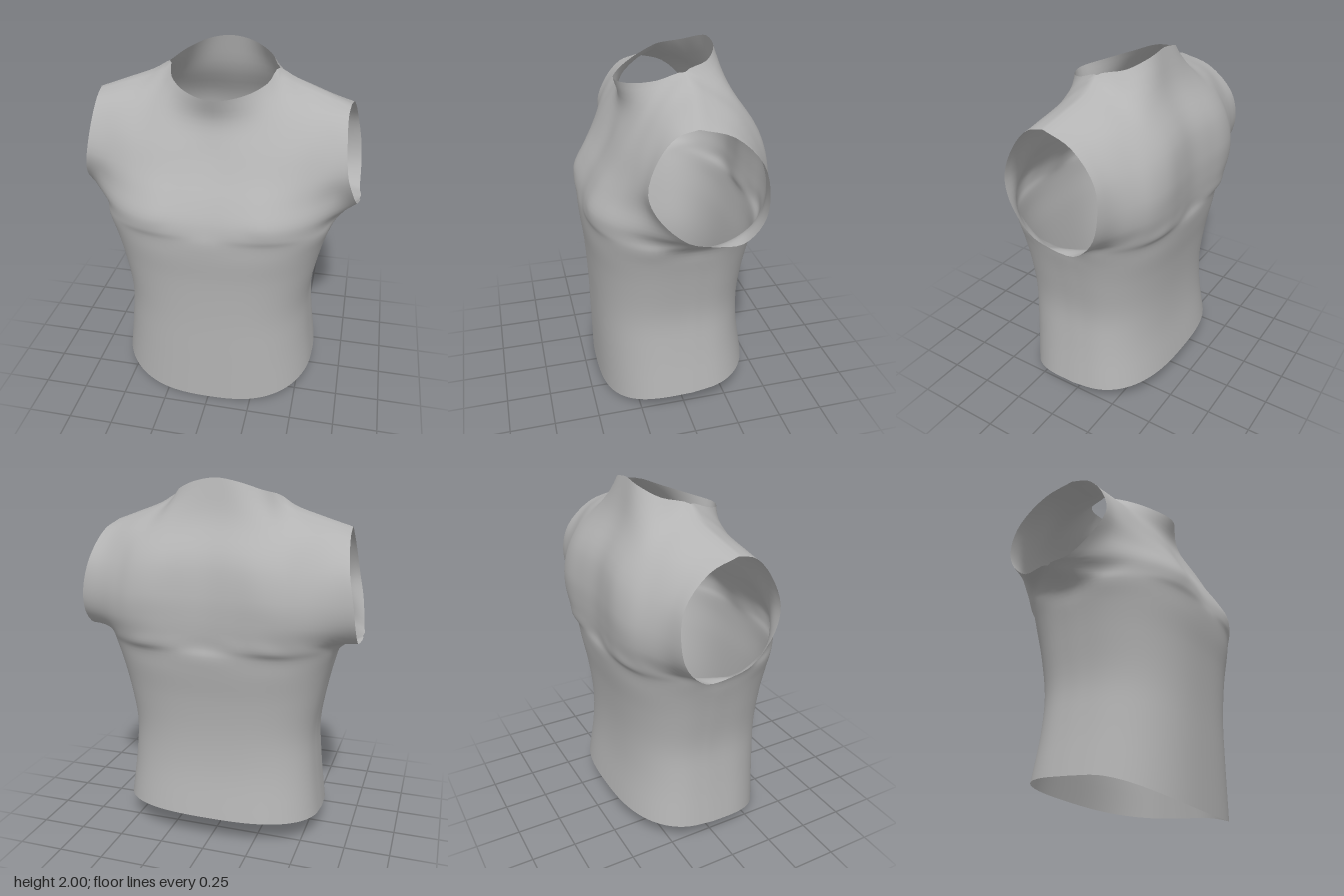
import * as THREE from 'three';
import { mergeVertices } from 'three/addons/utils/BufferGeometryUtils.js';

const STEPS = 4; // samples per control span
const COLS = 6;  // control spans from centre line to side seam

// Waist-to-chest rings: height, half width, front depth, back depth
const RINGS = [
  [0.0, 0.58, 0.43, -0.44],
  [0.32, 0.548, 0.435, -0.402],
  [0.58, 0.536, 0.44, -0.396],
  [0.84, 0.572, 0.455, -0.415],
  [1.0, 0.61, 0.473, -0.442],
  [1.1, 0.643, 0.478, -0.455],
];

// Shoulder seam, from neck to sleeve opening
const SEAM = [[0.295, 1.905, -0.04], [0.38, 1.855, -0.05], [0.53, 1.8, -0.03], [0.675, 1.75, 0]];
const UNDERARM = [0.765, 1.18, -0.06];

// Half cross-sections from underarm to neckline: centre line to sleeve opening
const FRONT = [
  [[0, 1.15, 0.47], [0.2, 1.15, 0.477], [0.34, 1.15, 0.455], [0.46, 1.15, 0.395], [0.56, 1.15, 0.3], [0.64, 1.15, 0.15], UNDERARM],
  [[0, 1.22, 0.452], [0.16, 1.22, 0.465], [0.29, 1.22, 0.465], [0.42, 1.22, 0.418], [0.53, 1.22, 0.34], [0.64, 1.22, 0.22], [0.755, 1.21, 0.06]],
  [[0, 1.32, 0.405], [0.15, 1.32, 0.415], [0.28, 1.32, 0.415], [0.41, 1.32, 0.375], [0.52, 1.32, 0.315], [0.63, 1.33, 0.24], [0.725, 1.34, 0.2]],
  [[0, 1.43, 0.34], [0.15, 1.43, 0.35], [0.28, 1.43, 0.347], [0.41, 1.43, 0.322], [0.52, 1.44, 0.285], [0.62, 1.45, 0.255], [0.695, 1.46, 0.245]],
  [[0, 1.56, 0.275], [0.15, 1.56, 0.283], [0.28, 1.57, 0.273], [0.4, 1.58, 0.25], [0.5, 1.6, 0.225], [0.6, 1.61, 0.2], [0.675, 1.62, 0.19]],
  [[0, 1.69, 0.235], [0.17, 1.7, 0.215], [0.29, 1.73, 0.175], [0.37, 1.75, 0.13], [0.46, 1.74, 0.12], [0.57, 1.73, 0.11], [0.668, 1.72, 0.1]],
  [[0, 1.81, 0.265], [0.15, 1.825, 0.2], [0.25, 1.86, 0.09], ...SEAM],
];
const BACK = [
  [[0, 1.15, -0.445], [0.2, 1.15, -0.46], [0.34, 1.15, -0.453], [0.46, 1.15, -0.405], [0.56, 1.15, -0.33], [0.64, 1.15, -0.22], UNDERARM],
  [[0, 1.22, -0.45], [0.16, 1.22, -0.462], [0.3, 1.22, -0.467], [0.43, 1.21, -0.435], [0.54, 1.2, -0.37], [0.645, 1.19, -0.285], [0.762, 1.175, -0.21]],
  [[0, 1.3, -0.453], [0.15, 1.3, -0.465], [0.3, 1.3, -0.475], [0.42, 1.29, -0.455], [0.53, 1.28, -0.405], [0.64, 1.27, -0.345], [0.758, 1.27, -0.31]],
  [[0, 1.42, -0.448], [0.15, 1.42, -0.462], [0.3, 1.42, -0.475], [0.42, 1.41, -0.455], [0.52, 1.41, -0.41], [0.63, 1.4, -0.365], [0.745, 1.4, -0.34]],
  [[0, 1.6, -0.41], [0.15, 1.6, -0.425], [0.28, 1.59, -0.432], [0.4, 1.58, -0.41], [0.5, 1.57, -0.365], [0.62, 1.56, -0.325], [0.715, 1.56, -0.31]],
  [[0, 1.8, -0.3], [0.15, 1.79, -0.31], [0.28, 1.76, -0.31], [0.38, 1.74, -0.285], [0.48, 1.73, -0.25], [0.6, 1.71, -0.2], [0.69, 1.7, -0.17]],
  [[0, 2.0, -0.245], [0.12, 1.98, -0.238], [0.23, 1.938, -0.17], ...SEAM],
];

// Half ring as a squarish oval; the hem drops towards the front
function ringRow([y, width, front, back], isFront) {
  const seamZ = -0.03;
  const depth = (isFront ? front : back) - seamZ;
  return Array.from({ length: COLS + 1 }, (_, i) => {
    const a = (i / COLS) * Math.PI / 2;
    const x = width * Math.sin(a) ** 0.75;
    const z = seamZ + depth * Math.max(0, Math.cos(a)) ** 0.75;
    const hem = z > 0 ? 0.12 - 0.12 * (z / 0.43) ** 2 : 0.12 - 0.09 * z;
    return [x, y + hem * Math.max(0, 1 - y / 0.8), z];
  });
}

// Smooth curve through points, sampled evenly in each span
function smooth(points) {
  return new THREE.CatmullRomCurve3(points).getPoints((points.length - 1) * STEPS);
}

// Grid of points for one panel, mirrored about the centre line
function panelGrid(upper, isFront) {
  const rows = [...RINGS.map((r) => ringRow(r, isFront)), ...upper].map((row) => {
    const half = row.map((p) => new THREE.Vector3(...p));
    const mirrored = half.slice(1).reverse().map((p) => new THREE.Vector3(-p.x, p.y, p.z));
    return smooth([...mirrored, ...half]);
  });
  const columns = rows[0].map((_, i) => smooth(rows.map((row) => row[i])));
  return columns[0].map((_, j) => columns.map((column) => column[j]));
}

// Make both panels meet exactly along side and shoulder seams
function stitch(front, back) {
  const last = front[0].length - 1;
  const join = (j, i) => {
    front[j][i].lerp(back[j][i], 0.5);
    back[j][i].copy(front[j][i]);
  };
  for (let j = 0; j <= RINGS.length * STEPS; j++) [0, last].forEach((i) => join(j, i));
  for (let k = 0; k <= 3 * STEPS; k++) [k, last - k].forEach((i) => join(front.length - 1, i));
}

function createGarmentGeometry() {
  const front = panelGrid(FRONT, true);
  const back = panelGrid(BACK, false);
  stitch(front, back);
  const positions = [];
  const index = [];
  [front, back].forEach((grid, side) => {
    const start = positions.length / 3;
    const n = grid[0].length;
    grid.forEach((row) => row.forEach((p) => positions.push(p.x, p.y, p.z)));
    for (let j = 0; j < grid.length - 1; j++) {
      for (let i = 0; i < n - 1; i++) {
        const a = start + j * n + i;
        const b = a + 1, c = a + n, d = c + 1;
        if (side === 0) index.push(a, b, d, a, d, c);
        else index.push(a, d, b, a, c, d);
      }
    }
  });
  const geometry = new THREE.BufferGeometry();
  geometry.setAttribute('position', new THREE.Float32BufferAttribute(positions, 3));
  geometry.setIndex(index);
  const merged = mergeVertices(geometry, 1e-4);
  merged.computeVertexNormals();
  return merged;
}

export function createModel() {
  const group = new THREE.Group();
  group.name = 'sleevelessShirt';

  const fabric = new THREE.MeshStandardMaterial({ color: 0xb4b4b4, side: THREE.DoubleSide });
  fabric.name = 'grey fabric';

  // Open shell with neck, sleeve and hem openings
  const shirt = new THREE.Mesh(createGarmentGeometry(), fabric);
  shirt.name = 'shirtBody';
  group.add(shirt);
  return group;
}
